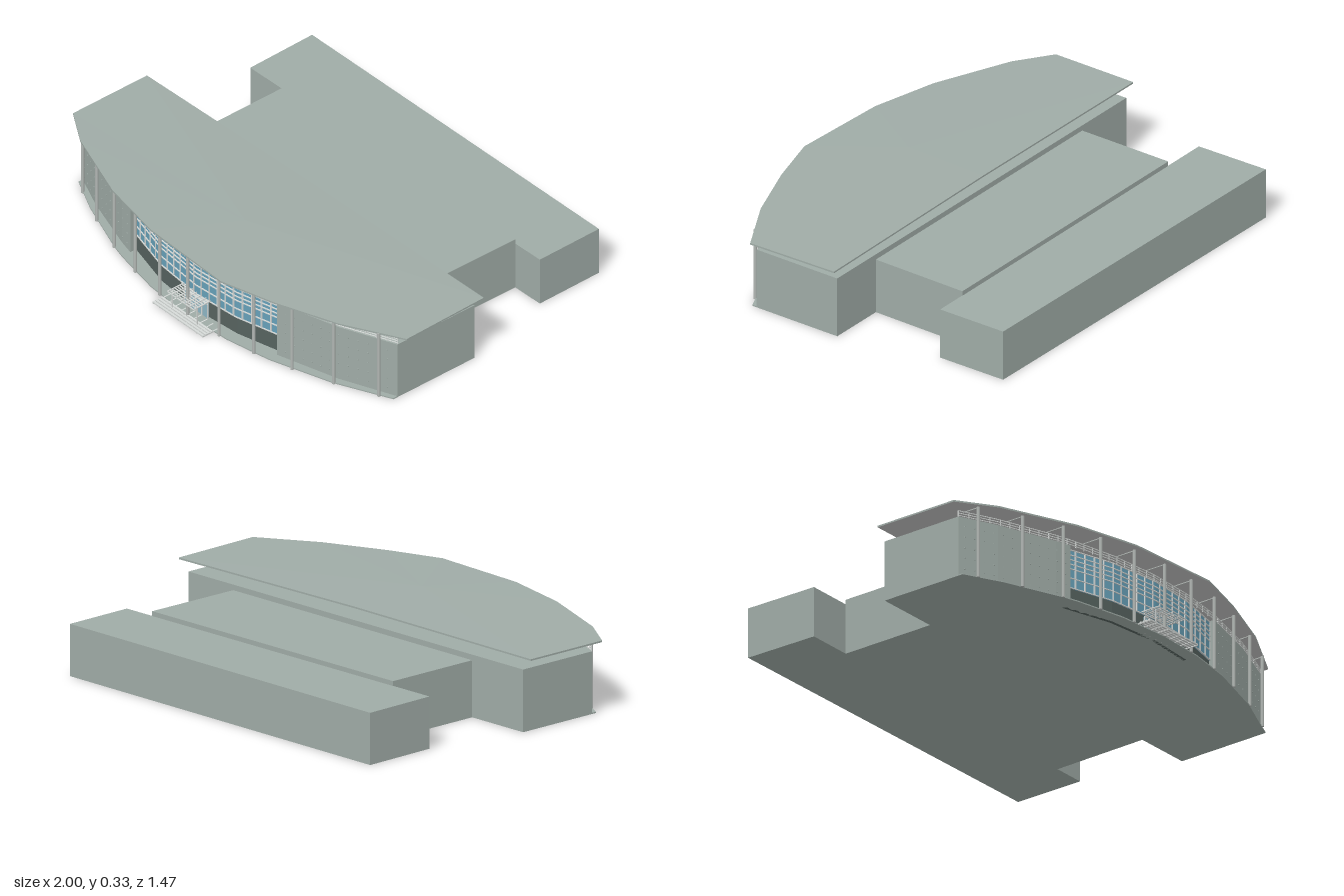
import * as THREE from 'three';
import { mergeGeometries } from 'three/addons/utils/BufferGeometryUtils.js';

const mat = (name, color) => Object.assign(new THREE.MeshStandardMaterial({ color }), { name });

// Prism from a plan outline of [x, z] points, between two heights
function prism(plan, y0, y1) {
  const shape = new THREE.Shape(plan.map(([x, z]) => new THREE.Vector2(x, -z)));
  const g = new THREE.ExtrudeGeometry(shape, { depth: y1 - y0, bevelEnabled: false });
  return g.rotateX(-Math.PI / 2).translate(0, y0, 0);
}

// Straight bar between two points, w wide and h high
function bar(a, b, w, h = w) {
  const p = new THREE.Vector3(...a), q = new THREE.Vector3(...b);
  const g = new THREE.BoxGeometry(w, h, p.distanceTo(q));
  const m = new THREE.Matrix4();
  const up = Math.abs(p.y - q.y) > 0.9 * p.distanceTo(q) ? new THREE.Vector3(0, 0, 1) : new THREE.Vector3(0, 1, 0);
  m.lookAt(q, p, up).setPosition(p.add(q).multiplyScalar(0.5));
  return g.applyMatrix4(m);
}

// Plan lines of the bowed front wall, the deeper-set glazing and the column row
const wallX = [-0.955, -0.795, -0.535, -0.465, -0.24, 0, 0.22, 0.43, 0.71, 0.95];
const wall = wallX.map(x => [x, 0.632 - 0.25 * x * x]);
const glazing = wallX.slice(3, 8).map(x => [x, 0.637 - 0.38 * x * x]);
const columnZ = x => 0.68 - 0.28 * x * x;
function zOn(line, x) {
  let i = 0;
  while (i < line.length - 2 && x > line[i + 1][0]) i++;
  const [a, b] = [line[i], line[i + 1]];
  return a[1] + (b[1] - a[1]) * (x - a[0]) / (b[0] - a[0]);
}

// Shallow faceted roof: a fan around the ridge point with an edge, then the soffit
function roofGeometry() {
  const rim = [[-1, 0.31, 0.03], [-1, 0.31, 0.415], [-0.84, 0.313, 0.515], [-0.5, 0.318, 0.64],
    [-0.2, 0.322, 0.7], [0.24, 0.322, 0.715], [0.48, 0.318, 0.645], [0.75, 0.314, 0.54],
    [1, 0.31, 0.4], [0.99, 0.31, -0.01], [0, 0.317, 0.01]];
  const apex = [0, 0.326, 0.38], top = [], under = [];
  const low = p => [p[0], p[1] - 0.007, p[2]];
  rim.forEach((a, i) => {
    const b = rim[(i + 1) % rim.length];
    top.push(...apex, ...a, ...b);
    top.push(...a, ...low(a), ...low(b), ...a, ...low(b), ...b);
    under.push(...low(apex), ...low(b), ...low(a));
  });
  const g = new THREE.BufferGeometry();
  g.setAttribute('position', new THREE.Float32BufferAttribute([...top, ...under], 3));
  g.addGroup(0, top.length / 3, 0);
  g.addGroup(top.length / 3, under.length / 3, 1);
  g.computeVertexNormals();
  return g;
}

export function createModel() {
  const group = new THREE.Group();
  const cladding = mat('grey green cladding', 0x9faba6);
  const soffit = mat('light grey soffit', 0xc0c0bf);
  const dark = mat('dark base', 0x56625f);
  const glass = mat('blue glass', 0x66a0b8);
  const doorGlass = mat('pale door glass', 0x8db6c4);
  const frame = mat('pale frame', 0xd6dad8);
  const steel = mat('light steel', 0xb2b7b4);
  const add = (name, geo, material) => {
    const mesh = new THREE.Mesh(Array.isArray(geo) ? mergeGeometries(geo) : geo, material);
    mesh.name = name;
    group.add(mesh);
  };

  // Main hall, set back behind the glazing
  const inset = glazing.map(([x, z]) => [x, z - 0.022]);
  add('mainHall', prism([[-0.955, 0.03], ...wall.slice(0, 4), ...inset, ...wall.slice(7), [0.95, 0.005]], 0, 0.258), cladding);

  // Rear wings, slightly out of square
  add('middleWing', prism([[-0.665, -0.402], [-0.665, 0.04], [0.695, 0.04], [0.7, -0.426]], 0, 0.235), cladding);
  add('rearWing', prism([[-0.877, -0.725], [-0.87, -0.397], [0.845, -0.427], [0.842, -0.738]], 0, 0.215), cladding);

  add('roof', roofGeometry(), [cladding, soffit]);

  // Glazed front: base, window panes and frames for each facet
  const bases = [], panes = [], frames = [];
  for (let i = 0; i < 4; i++) {
    const [x0, z0] = glazing[i], [x1, z1] = glazing[i + 1];
    bases.push(bar([x0, 0.043, z0 - 0.014], [x1, 0.043, z1 - 0.014], 0.014, 0.086));
    panes.push(bar([x0, 0.169, z0 - 0.008], [x1, 0.169, z1 - 0.008], 0.009, 0.166));
    for (const y of [0.088, 0.13, 0.17, 0.19, 0.21, 0.23, 0.252])
      frames.push(bar([x0, y, z0 - 0.002], [x1, y, z1 - 0.002], 0.006, 0.004));
  }
  for (let i = 0; i <= 20; i++) {
    const x = -0.463 + 0.891 * i / 20, z = zOn(glazing, x) - 0.002;
    frames.push(bar([x, 0.088, z], [x, 0.254, z], 0.005));
  }
  add('glazingBase', bases, dark);
  add('windowPanes', panes, glass);
  add('windowFrames', frames, frame);

  // Entrance doors
  add('doors', new THREE.BoxGeometry(0.14, 0.075, 0.006).translate(0, 0.038, 0.632), doorGlass);
  const doorBars = [-0.07, -0.035, 0, 0.035, 0.07].map(x => bar([x, 0, 0.636], [x, 0.077, 0.636], 0.005));
  doorBars.push(bar([-0.07, 0.076, 0.636], [0.07, 0.076, 0.636], 0.005));
  add('doorFrames', doorBars, frame);

  // Slatted entrance canopy on posts
  const slats = [];
  for (let i = 0; i < 7; i++) {
    const z = 0.64 + i * 0.0125;
    slats.push(bar([-0.08, 0.091, z], [0.08, 0.091, z], 0.004));
  }
  for (let i = 0; i <= 6; i++) {
    const x = -0.08 + 0.16 * i / 6;
    slats.push(bar([x, 0.094, 0.63], [x, 0.094, 0.716], 0.004));
  }
  for (const x of [-0.075, 0.075]) slats.push(bar([x, 0, 0.695], [x, 0.091, 0.695], 0.004));
  add('entranceCanopy', slats, frame);

  // Thin paving out to the column row, and the slatted entrance step
  const paving = wallX.map(x => [x, columnZ(x)]);
  add('paving', prism([[-0.955, 0.38], ...paving, [0.95, 0.38]], 0, 0.005), cladding);
  const treads = [];
  for (let i = 0; i < 4; i++)
    treads.push(bar([-0.155, 0.006, 0.682 + i * 0.0145], [0.15, 0.006, 0.682 + i * 0.0145], 0.009, 0.006));
  for (let i = 0; i <= 8; i++) {
    const x = -0.151 + 0.297 * i / 8;
    treads.push(bar([x, 0.003, 0.64], [x, 0.003, 0.73], 0.005));
  }
  add('entranceStep', treads, frame);

  // Slim columns carrying the roof overhang, tied back under the eaves
  const columns = [], ties = [];
  for (let i = -5; i <= 5; i++) {
    const x = i * 0.179, z = columnZ(x), top = 0.32 - 0.013 * Math.abs(x);
    columns.push(new THREE.CylinderGeometry(0.0068, 0.0068, top, 10).translate(x, top / 2, z));
    ties.push(bar([x, top - 0.006, z], [x, top - 0.006, zOn(wall, x) - 0.05], 0.004));
  }
  add('columns', columns, steel);
  add('roofTies', ties, steel);

  // Open railing along the parapet
  const rails = [];
  for (let i = 0; i < wall.length - 1; i++) {
    const [x0, z0] = wall[i], [x1, z1] = wall[i + 1];
    for (const y of [0.264, 0.274, 0.284])
      rails.push(bar([x0, y, z0 - 0.004], [x1, y, z1 - 0.004], 0.004, 0.003));
  }
  for (let i = 0; i <= 44; i++) {
    const x = -0.953 + 1.901 * i / 44, z = zOn(wall, x) - 0.004;
    rails.push(bar([x, 0.257, z], [x, 0.285, z], 0.003));
  }
  add('parapetRailing', rails, frame);

  // Small studs in rows over the closed wall panels
  const studs = [];
  for (let i = 0; i < 24; i++) {
    const x = i < 12 ? -0.93 + i * 0.04 : 0.47 + (i - 12) * 0.04;
    for (let j = 0; j < 5; j++)
      studs.push(new THREE.BoxGeometry(0.004, 0.004, 0.005).translate(x, 0.035 + j * 0.046, zOn(wall, x)));
  }
  add('wallStuds', studs, cladding);

  return group;
}
